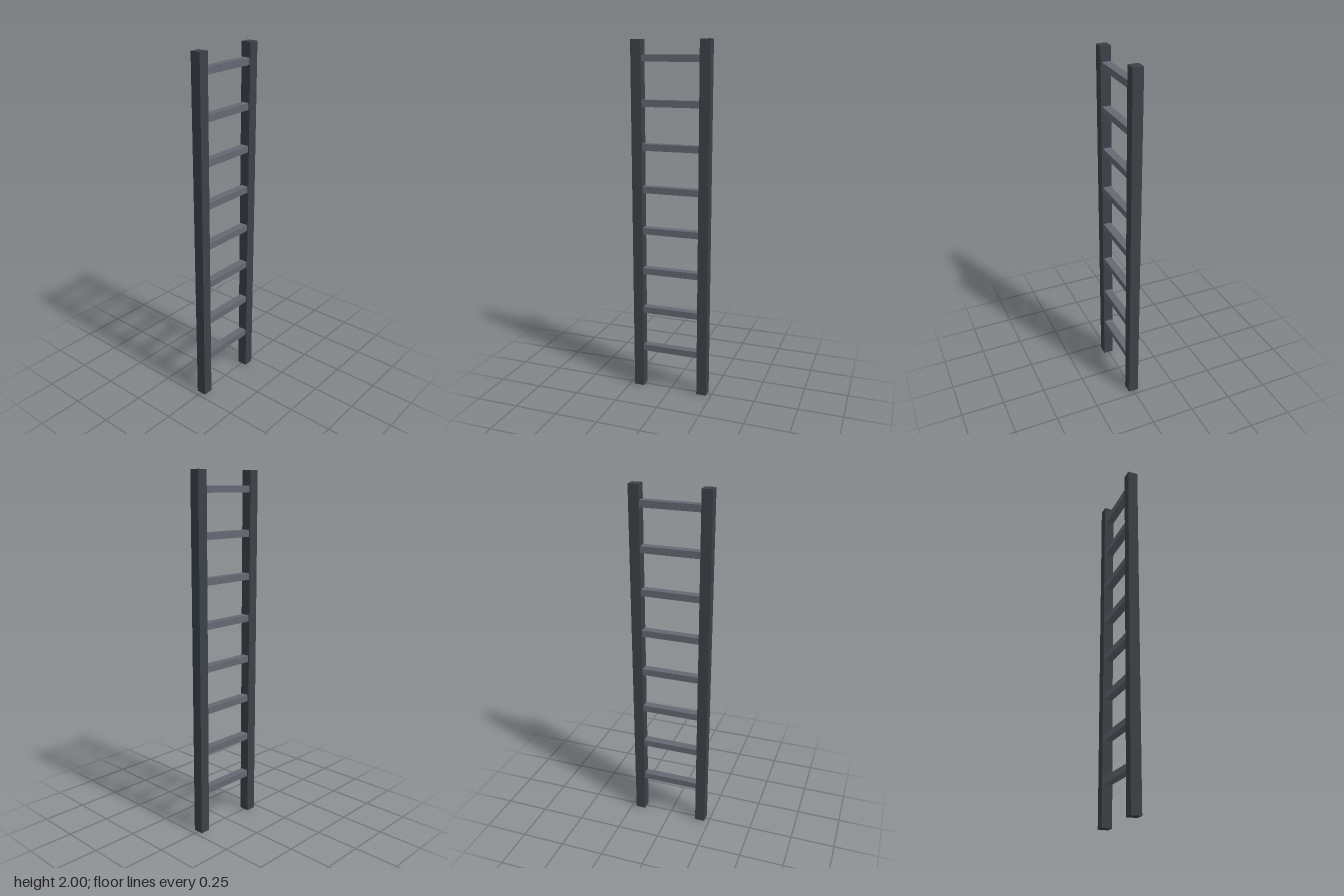
import * as THREE from 'three';

export function createModel() {
  const railMaterial = new THREE.MeshStandardMaterial({ color: 0x3b4248 });
  railMaterial.name = 'dark slate';
  const rungMaterial = new THREE.MeshStandardMaterial({ color: 0x666872 });
  rungMaterial.name = 'mid grey';

  const ladder = new THREE.Group();
  ladder.name = 'ladder';

  // Two square side rails
  const railGeometry = new THREE.BoxGeometry(0.058, 2, 0.058);
  for (const side of [-1, 1]) {
    const rail = new THREE.Mesh(railGeometry, railMaterial);
    rail.name = side > 0 ? 'leftRail' : 'rightRail';
    rail.position.set(side * 0.193, 1, 0);
    ladder.add(rail);
  }

  // Eight evenly spaced rungs, ending inside the rails
  const rungCount = 8, firstRung = 0.243, rungSpacing = 0.237;
  const rungGeometry = new THREE.BoxGeometry(0.34, 0.037, 0.046);
  for (let i = 0; i < rungCount; i++) {
    const rung = new THREE.Mesh(rungGeometry, rungMaterial);
    rung.name = `rung${i + 1}`;
    rung.position.y = firstRung + i * rungSpacing;
    ladder.add(rung);
  }

  return ladder;
}
